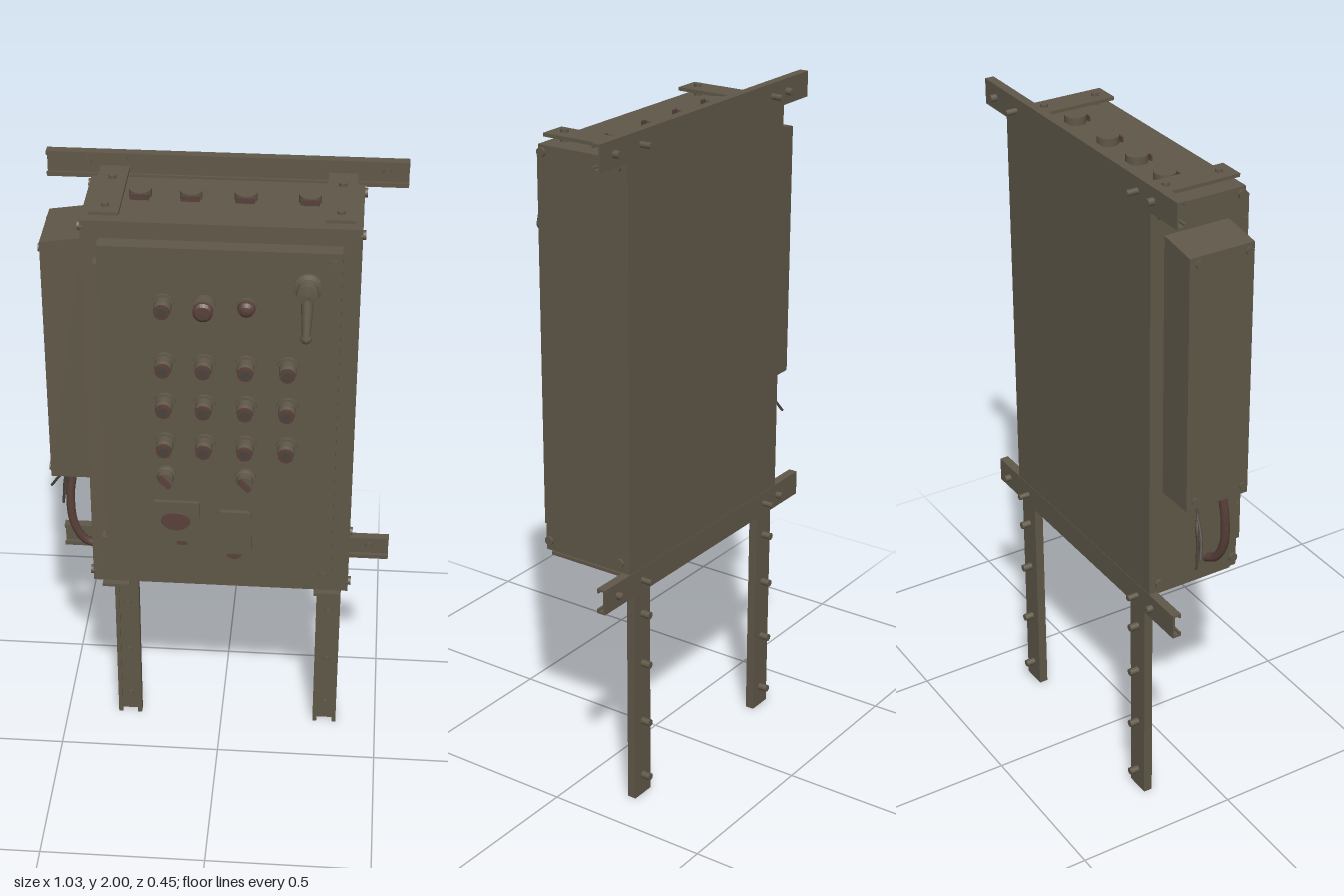
import * as THREE from 'three';

export function createModel() {
  const root = new THREE.Group();
  const mat = (name, color) => {
    const m = new THREE.MeshStandardMaterial({ color });
    m.name = name;
    return m;
  };
  const olive = mat('olive grey metal', 0x5f5748);
  const maroon = mat('dull maroon', 0x58403a);
  const dark = mat('dark grey', 0x48423a);

  const add = (name, geo, m, x = 0, y = 0, z = 0, parent = root) => {
    const mesh = new THREE.Mesh(geo, m);
    mesh.name = name;
    mesh.position.set(x, y, z);
    parent.add(mesh);
    return mesh;
  };
  // box given by its limits
  const box = (name, x0, x1, y0, y1, z0, z1, m = olive) =>
    add(name, new THREE.BoxGeometry(x1 - x0, y1 - y0, z1 - z0), m,
      (x0 + x1) / 2, (y0 + y1) / 2, (z0 + z1) / 2);
  // cylinder along an axis
  const cyl = (name, axis, r, len, x, y, z, m = olive, sides = 16) => {
    const g = new THREE.CylinderGeometry(r, r, len, sides);
    if (axis === 'z') g.rotateX(Math.PI / 2);
    if (axis === 'x') g.rotateZ(-Math.PI / 2);
    return add(name, g, m, x, y, z);
  };
  // turned part facing the front, profile in [radius, depth]
  const turned = (name, profile, m, x, y, z) => {
    const g = new THREE.LatheGeometry(profile.map(p => new THREE.Vector2(...p)), 20);
    g.rotateX(Math.PI / 2);
    const flat = g.toNonIndexed();
    flat.computeVertexNormals();
    return add(name, flat, m, x, y, z);
  };
  const tube = (name, pts, r, m) => add(name, new THREE.TubeGeometry(
    new THREE.CatmullRomCurve3(pts.map(p => new THREE.Vector3(...p))), 24, r, 8), m);

  // lipped channel of width w along +y, open towards +z
  const channel = (w, len) => {
    const h = w / 2, d = 0.027, t = 0.006, lip = 0.013;
    const s = new THREE.Shape([[-h, 0], [h, 0], [h, d], [h - lip, d], [h - lip, d - t], [h - t, d - t],
      [h - t, t], [t - h, t], [t - h, d - t], [lip - h, d - t], [lip - h, d], [-h, d]]
      .map(p => new THREE.Vector2(...p)));
    const g = new THREE.ExtrudeGeometry(s, { depth: len, bevelEnabled: false });
    // shape x -> x, shape y -> z, extrusion -> y
    g.rotateX(-Math.PI / 2);
    g.scale(1, 1, 1);
    g.rotateY(Math.PI);
    return g;
  };
  const back = -0.193;

  // cross rails and their bolts
  for (const y of [1.962, 0.703]) {
    const g = channel(0.075, 0.997);
    g.rotateZ(-Math.PI / 2);
    add('crossRail', g, olive, -0.485, y, back);
    for (const x of [-0.373, 0.452]) {
      cyl('railBolt', 'z', 0.011, 0.02, x, y, back - 0.009, olive, 8);
      cyl('railBoltInside', 'z', 0.011, 0.01, x, y, back + 0.01, olive, 8);
    }
    for (const x of [-0.297, 0.335]) {
      cyl('mountBolt', 'z', 0.009, 0.034, x, y, back - 0.016, olive, 8);
      box('railClip', x - 0.035, x + 0.035, y - 0.012, y + 0.022, back + 0.006, back + 0.014);
    }
  }

  // legs
  for (const x of [-0.298, 0.335]) {
    add('leg', channel(0.075, 0.67), olive, x, 0, back);
    for (const y of [0.597, 0.437, 0.247, 0.065]) {
      cyl('legBolt', 'z', 0.011, 0.03, x, y, back - 0.013, olive, 8);
      cyl('legBoltInside', 'z', 0.01, 0.01, x, y, back + 0.01, olive, 8);
    }
  }

  // cabinet and door
  box('cabinet', -0.36, 0.393, 0.74, 1.93, back + 0.001, 0.102);
  box('door', -0.312, 0.343, 0.79, 1.88, 0.102, 0.147);
  for (const y of [1.78, 0.88]) box('hinge', -0.326, -0.31, y - 0.04, y + 0.04, 0.102, 0.135);
  for (const y of [1.85, 0.825]) cyl('doorScrew', 'z', 0.014, 0.008, 0.32, y, 0.149);
  for (const x of [-0.361, 0.394]) for (const y of [1.91, 0.77]) for (const z of [0.09, -0.16])
    cyl('cabinetScrew', 'x', 0.013, 0.014, x, y, z);

  // brackets and plugs above and below the cabinet
  for (const [y, s] of [[1.93, 1], [0.74, -1]]) {
    for (const x of [-0.295, 0.333]) {
      const y0 = y + s * 0.016, y1 = y + s * 0.026;
      box('bracket', x - 0.04, x + 0.04, Math.min(y0, y1), Math.max(y0, y1), back + 0.01, 0.1);
      for (const z of [-0.105, 0.06]) cyl('bracketBolt', 'y', 0.011, 0.036, x, y + s * 0.017, z);
    }
    for (const x of [-0.213, -0.075, 0.073, 0.247])
      cyl('plug', 'y', 0.031, 0.024, x, y + s * 0.011, -0.055, olive, 24);
  }
  for (const x of [-0.213, -0.075, 0.073, 0.247]) for (const y of [1.941, 0.729])
    box('plugMark', x - 0.026, x + 0.026, y - 0.008, y + 0.008, -0.026, -0.022, maroon);

  // side box with sloping top
  const side = new THREE.Shape([[-0.48, 1.07], [-0.36, 1.07], [-0.36, 1.85], [-0.48, 1.832]]
    .map(p => new THREE.Vector2(...p)));
  add('sideBox', new THREE.ExtrudeGeometry(side, { depth: 0.2, bevelEnabled: false }), olive, 0, 0, -0.15);
  for (const y of [1.81, 1.095]) for (const z of [-0.12, 0.035])
    cyl('sideBoxScrew', 'x', 0.012, 0.008, -0.481, y, z);

  // cable and loose wires
  tube('cable', [[-0.42, 1.08, 0], [-0.433, 0.98, 0.01], [-0.425, 0.88, 0.015], [-0.395, 0.82, 0.01], [-0.35, 0.795, 0]], 0.013, maroon);
  const ends = [[-0.51, 0.92, -0.12], [-0.475, 0.865, -0.11], [-0.465, 0.91, -0.09]];
  for (const e of ends)
    tube('looseWire', [[-0.42, 1.075, -0.08], [-0.437, 1.02, -0.085], [(e[0] - 0.45) / 2, 0.97, -0.1], e], 0.004, dark);

  // push buttons
  const cols = [-0.135, -0.025, 0.09, 0.205], face = 0.147;
  const button = (x, y) => {
    turned('buttonBody', [[0, 0.052], [0.017, 0.052], [0.019, 0.048], [0.024, 0.034], [0.025, 0.01], [0.031, 0.01], [0.031, 0]].reverse(), olive, x, y, face);
    turned('buttonRim', [[0.0205, 0.044], [0.0215, 0.053], [0.013, 0.0535]], maroon, x, y, face);
    turned('buttonCap', [[0.013, 0.051], [0.013, 0.0545], [0, 0.0545]], dark, x, y, face);
  };
  for (const y of [1.53, 1.4, 1.27]) for (const x of cols) button(x, y);
  button(cols[0], 1.713);
  turned('mushroomBase', [[0.031, 0], [0.031, 0.01], [0.02, 0.012], [0.02, 0.034]], olive, cols[1], 1.713, face);
  turned('mushroomHead', [[0.018, 0.03], [0.028, 0.034], [0.028, 0.044], [0.02, 0.05], [0, 0.051]], maroon, cols[1], 1.713, face);
  turned('lampBase', [[0.027, 0], [0.027, 0.01], [0, 0.01]], olive, cols[2], 1.713, face);
  turned('lampLens', [[0.025, 0.009], [0.022, 0.022], [0.012, 0.028], [0, 0.03]], maroon, cols[2], 1.713, face);

  // selector switches
  for (const x of [cols[0], cols[2]]) {
    turned('selectorBase', [[0.03, 0], [0.03, 0.01], [0.024, 0.012], [0.022, 0.036], [0, 0.036]], olive, x, 1.16, face);
    const knob = box('selectorKnob', x - 0.006, x + 0.006, 1.139, 1.181, 0.18, 0.199, maroon);
    knob.rotation.z = Math.PI / 4;
  }

  // gauge plate and covered socket
  box('gaugePlate', -0.17, -0.04, 0.935, 1.07, face, 0.158);
  const blob = turned('gaugeFace', [[0.042, 0], [0.04, 0.004], [0, 0.004]], maroon, -0.108, 1.005, 0.158);
  blob.scale.y = 0.75;
  box('gaugeTab', -0.105, -0.075, 0.918, 0.935, face, 0.153, maroon);
  const r = 0.015, w = 0.05, h = 0.073;
  const cover = new THREE.Shape();
  cover.absarc(w - r, h - r, r, 0, Math.PI / 2);
  cover.absarc(r - w, h - r, r, Math.PI / 2, Math.PI);
  cover.absarc(r - w, r - h, r, Math.PI, Math.PI * 1.5);
  cover.absarc(w - r, r - h, r, Math.PI * 1.5, Math.PI * 2);
  add('socketCover', new THREE.ExtrudeGeometry(cover, { depth: 0.014, bevelEnabled: false, curveSegments: 5 }), olive, 0.06, 0.972, face);
  cyl('socketTab', 'z', 0.024, 0.006, 0.06, 0.899, face + 0.003, maroon);

  // door handle
  turned('handleBase', [[0.04, 0], [0.04, 0.008], [0.028, 0.012], [0.024, 0.03], [0.03, 0.036], [0.028, 0.05], [0, 0.053]], olive, 0.253, 1.78, face);
  const lever = add('handleLever', new THREE.CylinderGeometry(0.018, 0.011, 0.12, 12), olive, 0.253, 1.712, 0.196);
  lever.rotation.x = -0.27;
  const tip = add('handleTip', new THREE.SphereGeometry(0.016, 12, 8), olive, 0.253, 1.657, 0.208);
  tip.scale.z = 0.85;

  return root;
}
